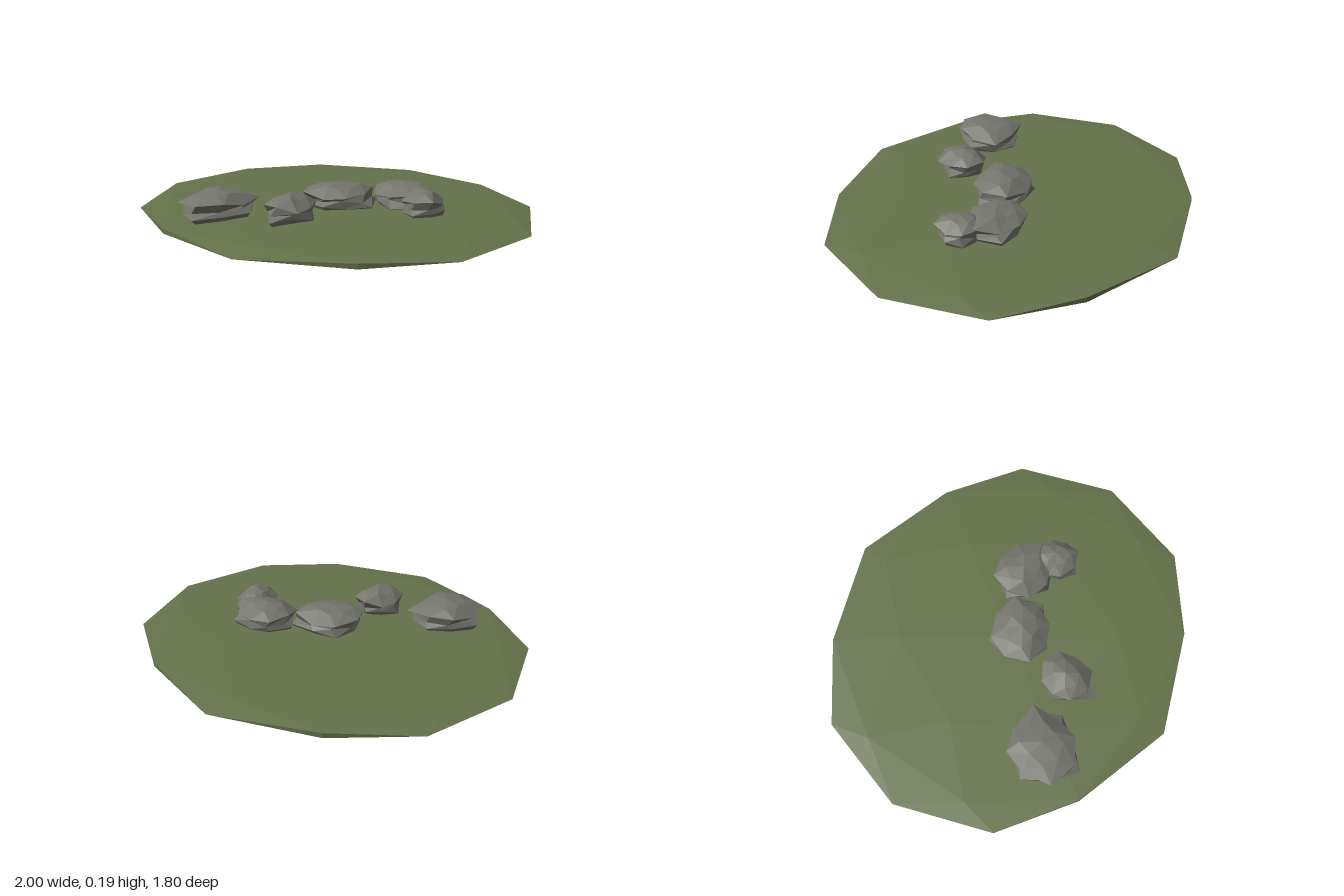
import * as THREE from 'three';

const SIDES = 8;
const grass = new THREE.MeshStandardMaterial({ name: 'mossGreen', color: 0x65724a, flatShading: true });
const stone = new THREE.MeshStandardMaterial({ name: 'stoneGrey', color: 0x75756e, flatShading: true });

// Each rock: summit position, then crown and foot radii every 45 degrees from +x towards +z
const ROCKS = [
  { x: -0.39, z: 0.445, crown: [0.145, 0.16, 0.18, 0.2, 0.165, 0.175, 0.15, 0.2], foot: [0.18, 0.15, 0.215, 0.17, 0.19, 0.15, 0.17, 0.16] },
  { x: -0.045, z: 0.353, crown: [0.11, 0.14, 0.13, 0.13, 0.11, 0.115, 0.125, 0.125], foot: [0.125, 0.11, 0.185, 0.11, 0.125, 0.1, 0.11, 0.1] },
  { x: 0.04, z: 0.053, crown: [0.15, 0.14, 0.14, 0.175, 0.165, 0.16, 0.155, 0.18], foot: [0.19, 0.12, 0.15, 0.15, 0.15, 0.17, 0.15, 0.2] },
  { x: 0.315, z: -0.118, crown: [0.175, 0.14, 0.14, 0.155, 0.145, 0.155, 0.135, 0.145], foot: [0.15, 0.15, 0.15, 0.13, 0.16, 0.13, 0.12, 0.17] },
  { x: 0.465, z: -0.02, crown: [0.1, 0.12, 0.11, 0.11, 0.11, 0.11, 0.11, 0.1], foot: [0.11, 0.1, 0.125, 0.1, 0.1, 0.12, 0.1, 0.11] },
];

// Faceted boulder lofted through jagged rings, closed at summit and base
function rockGeometry({ crown, foot }, shift) {
  const ring = (radius, height, turn = 0) => Array.from({ length: SIDES }, (_, j) => {
    const a = (j + turn) * Math.PI * 2 / SIDES;
    return [Math.cos(a) * radius(j), height(j), Math.sin(a) * radius(j)];
  });
  const fold = j => ((j * 3 + shift) % 4) / 3 - 0.5;
  const rings = [
    ring(() => 0, () => 0.19),
    ring(j => crown[j] * (0.56 + 0.12 * fold(j)), j => 0.174 + 0.012 * fold(j + 1), 0.3),
    ring(j => crown[j], j => 0.14 + 0.024 * fold(j)),
    ring(j => (crown[j] + foot[j]) * 0.45, j => 0.112 + 0.014 * fold(j + 2), 0.2),
    ring(j => foot[j], j => 0.087 + 0.016 * fold(j + 1)),
    ring(j => foot[j] * 0.8, () => 0.05),
    ring(() => 0, () => 0.05),
  ];
  const points = [];
  for (let i = 0; i < rings.length - 1; i++) {
    for (let j = 0; j < SIDES; j++) {
      const k = (j + 1) % SIDES;
      const a = rings[i][j], b = rings[i][k], c = rings[i + 1][j], d = rings[i + 1][k];
      if (i > 0) points.push(...a, ...b, ...d);
      if (i < rings.length - 2) points.push(...a, ...d, ...c);
    }
  }
  const geometry = new THREE.BufferGeometry();
  geometry.setAttribute('position', new THREE.Float32BufferAttribute(points, 3));
  geometry.computeVertexNormals();
  return geometry;
}

export function createModel() {
  const model = new THREE.Group();
  model.name = 'rockyMound';

  // Flattened low-poly mound
  const mound = new THREE.Mesh(new THREE.IcosahedronGeometry(1, 1).scale(1, 0.04, 0.9), grass);
  mound.name = 'groundMound';
  mound.position.y = 0.04;
  model.add(mound);

  // Scattered boulders
  ROCKS.forEach((data, i) => {
    const rock = new THREE.Mesh(rockGeometry(data, i), stone);
    rock.name = `rock${i + 1}`;
    rock.position.set(data.x, 0, data.z);
    model.add(rock);
  });
  return model;
}
